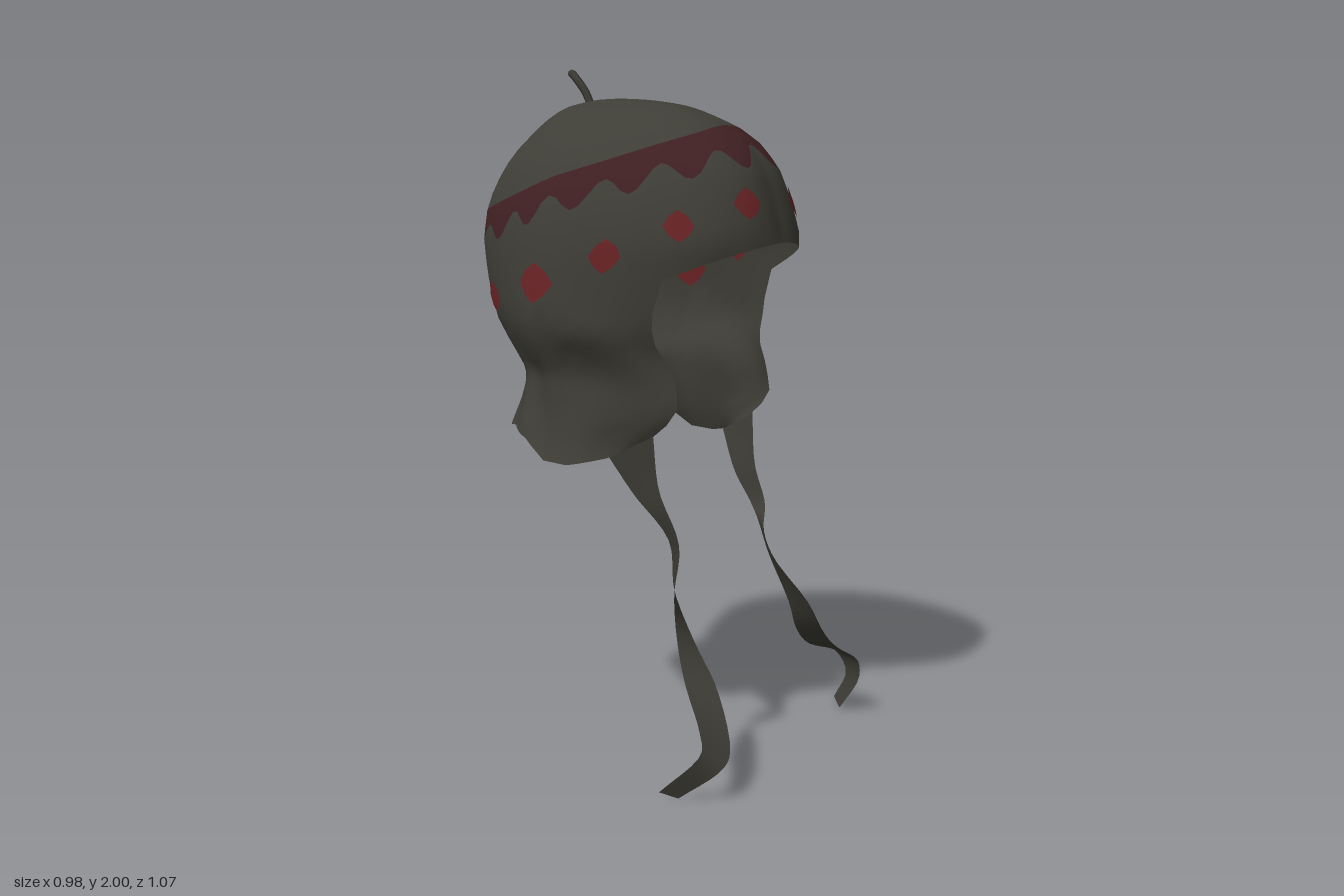
import * as THREE from 'three';

const mat = (name, color) => {
  const m = new THREE.MeshStandardMaterial({ color, side: THREE.DoubleSide });
  m.name = name;
  return m;
};

// Horizontal sections of the cap: [y, halfWidth, frontZ, backZ, middleZ]
const SECTIONS = [
  [1.91, 0, -0.13, -0.13, -0.13], [1.9, 0.06, 0.03, -0.24, -0.12], [1.885, 0.11, 0.12, -0.3, -0.11],
  [1.85, 0.18, 0.215, -0.35, -0.1], [1.8, 0.24, 0.32, -0.4, -0.1], [1.75, 0.285, 0.365, -0.45, -0.1],
  [1.7, 0.32, 0.4, -0.485, -0.1], [1.6, 0.365, 0.435, -0.535, -0.1], [1.5, 0.39, 0.46, -0.54, -0.1],
  [1.4, 0.4, 0.425, -0.515, -0.1], [1.3, 0.41, 0.38, -0.47, -0.1], [1.24, 0.41, 0.385, -0.44, -0.1],
  [1.2, 0.38, 0.395, -0.42, -0.1], [1.12, 0.342, 0.465, -0.375, -0.1], [1.02, 0.35, 0.47, -0.37, -0.1],
  [0.93, 0.37, 0.31, -0.375, -0.1], [0.86, 0.4, 0.3, -0.375, -0.1],
];
const DEG = Math.PI / 180;
const ramp = (v) => THREE.MathUtils.clamp(v, 0, 1);

// Point on the cap at angle a (0 = front, towards +x) and height y
function capPoint(a, y) {
  let k = 0;
  while (k < SECTIONS.length - 2 && y < SECTIONS[k + 1][0]) k++;
  const p = SECTIONS[k], q = SECTIONS[k + 1];
  const depth = (v) => Math.sqrt(Math.max(0, 1.91 - v));
  const t = (depth(y) - depth(p[0])) / (depth(q[0]) - depth(p[0]));
  const [w, f, b, m] = [1, 2, 3, 4].map((c) => p[c] + (q[c] - p[c]) * t);
  const s = Math.sin(a), c = Math.cos(a), low = ramp((1.3 - y) / 0.15);
  // gentle creases in the loose lower cloth
  const crease = 0.015 * low * Math.sin(11 * Math.abs(Math.PI - a) + 14 * y);
  // blunt brow, straight temples and a slightly pointed back
  const wave = Math.sin(4 * a) * Math.sign(s);
  const shape = 0.028 * (1 - low) * (c > 0 ? wave : -Math.abs(wave));
  // pinched neck whose corners flare out at the hem
  const flare = (c < 0 ? 0.11 * ramp((1.09 - y) / 0.14) : 0) - 0.035 * low;
  const r = 1 + crease + shape + flare * Math.sin(2 * a) ** 2;
  // the left side sits slightly tighter
  return new THREE.Vector3(w * s * r * (s > 0 ? 0.965 : 1), y, m + (c > 0 ? f - m : m - b) * c * r);
}

// Linear lookup for the lower hem: degrees from the front -> height
const HEM = [[0, 0.95], [47, 0.95], [60, 0.895], [78, 0.87], [90, 0.875], [107, 0.93], [124, 0.955], [138, 0.945], [180, 0.915]];
function hemY(a) {
  const d = Math.min(a, 2 * Math.PI - a) / DEG;
  let k = 0;
  while (k < HEM.length - 2 && d > HEM[k + 1][0]) k++;
  return THREE.MathUtils.mapLinear(d, HEM[k][0], HEM[k + 1][0], HEM[k][1], HEM[k + 1][1]);
}

// Cap shell: crown, zigzag band, sides, then ear and neck flaps (open at the face)
function capGeometry() {
  const cols = 128, crown = 12, band = 2, side = 6, flap = 10, opening = 17;
  const rows = crown + band + side + flap, pos = [], cloth = [], red = [];
  const lerp = THREE.MathUtils.lerp;
  for (let j = 0; j <= rows; j++) {
    for (let i = 0; i < cols; i++) {
      const a = (i / cols) * 2 * Math.PI;
      const top = 1.685 + 0.143 * Math.cos(a);
      // teeth are wider at the front and back than at the sides
      const zig = top - 0.085 + 0.031 * Math.cos(16 * (a - 0.105 * Math.sin(2 * a)));
      const brim = Math.max(1.5 - 0.3 * (1 - Math.cos(a)), 1.15);
      let y;
      if (j <= crown) y = lerp(1.91, top, (j / crown) ** 2);
      else if (j <= crown + band) y = lerp(top, zig, (j - crown) / band);
      else if (j <= rows - flap) y = lerp(zig, brim, (j - crown - band) / side);
      else y = lerp(brim, hemY(a), (j - rows + flap) / flap);
      pos.push(...capPoint(a, y).toArray());
    }
  }
  for (let j = 0; j < rows; j++) {
    for (let i = 0; i < cols; i++) {
      if (j >= rows - flap && (i < opening || i >= cols - opening)) continue;
      const n = (i + 1) % cols, p = j * cols, q = p + cols;
      const list = j >= crown && j < crown + band ? red : cloth;
      list.push(p + i, q + i, q + n, p + i, q + n, p + n);
    }
  }
  const g = new THREE.BufferGeometry();
  g.setAttribute('position', new THREE.Float32BufferAttribute(pos, 3));
  g.setIndex([...cloth, ...red]);
  g.addGroup(0, cloth.length, 0);
  g.addGroup(cloth.length, red.length, 1);
  g.computeVertexNormals();
  return g;
}

// Eight-sided spot lying on the cap, lifted off it by a small offset
function spotGeometry(a, y, r, lift) {
  const e = 0.01;
  const n = capPoint(a, y - e).sub(capPoint(a, y + e))
    .cross(capPoint(a + e, y).sub(capPoint(a - e, y))).normalize();
  const around = capPoint(a + e, y).distanceTo(capPoint(a - e, y)) / (2 * e);
  const put = (u, v) => capPoint(a + u / around, y + v).addScaledVector(n, lift).toArray();
  const pos = [...put(0, 0)], idx = [];
  for (let ring = 1; ring <= 2; ring++) {
    for (let k = 0; k < 8; k++) {
      const t = (k / 8) * 2 * Math.PI, s = (ring / 2) * r * (k % 2 ? 0.9 : 1.05);
      pos.push(...put(s * Math.cos(t), s * Math.sin(t)));
    }
  }
  for (let k = 0; k < 8; k++) {
    const p = 1 + k, q = 1 + ((k + 1) % 8);
    idx.push(0, p, q, p, p + 8, q + 8, p, q + 8, q);
  }
  const g = new THREE.BufferGeometry();
  g.setAttribute('position', new THREE.Float32BufferAttribute(pos, 3));
  g.setIndex(idx);
  g.computeVertexNormals();
  return g;
}

// Ribbon between two smooth edge curves; each entry holds both edge points
function ribbonGeometry(pairs) {
  const curve = (o) => new THREE.CatmullRomCurve3(pairs.map((p) => new THREE.Vector3(p[o], p[o + 1], p[o + 2])));
  const a = curve(0), b = curve(3), steps = 36, pos = [], idx = [];
  for (let i = 0; i <= steps; i++) {
    pos.push(...a.getPoint(i / steps).toArray(), ...b.getPoint(i / steps).toArray());
    if (i < steps) idx.push(2 * i, 2 * i + 1, 2 * i + 3, 2 * i, 2 * i + 3, 2 * i + 2);
  }
  const g = new THREE.BufferGeometry();
  g.setAttribute('position', new THREE.Float32BufferAttribute(pos, 3));
  g.setIndex(idx);
  g.computeVertexNormals();
  return g;
}

export function createModel() {
  const group = new THREE.Group();
  group.name = 'earflapCap';
  const cloth = mat('darkCloth', 0x3e3d36);
  const bandRed = mat('bandRed', 0x402022);
  const spotRed = mat('spotRed', 0x6a2325);
  const add = (name, geometry, material) => {
    const m = new THREE.Mesh(geometry, material);
    m.name = name;
    group.add(m);
  };

  add('cap', capGeometry(), [cloth, bandRed]);

  // Spots on both sides of the cloth: [degrees from front, height, radius]
  const spots = [[19, 1.61, 0.042], [45, 1.55, 0.042], [68, 1.466, 0.046], [92.5, 1.385, 0.055], [127.5, 1.333, 0.045], [164, 1.305, 0.046]];
  for (const [d, y, r] of spots) {
    for (const a of [d * DEG, (360 - d) * DEG]) {
      add('spotOutside', spotGeometry(a, y, r, 0.005), spotRed);
      add('spotInside', spotGeometry(a, y, r, -0.005), spotRed);
    }
  }

  // Small stalk on the crown
  const stalk = new THREE.CatmullRomCurve3([
    new THREE.Vector3(0, 1.885, -0.215), new THREE.Vector3(-0.003, 1.93, -0.235),
    new THREE.Vector3(-0.008, 1.965, -0.26), new THREE.Vector3(-0.01, 1.99, -0.283),
  ]);
  add('stalk', new THREE.TubeGeometry(stalk, 8, 0.012, 6), cloth);
  const tip = new THREE.SphereGeometry(0.012, 6, 4);
  tip.translate(-0.01, 1.988, -0.283);
  add('stalkTip', tip, cloth);

  // Hanging ties
  add('rightTie', ribbonGeometry([
    [-0.265, 0.96, 0.2, -0.3, 0.89, 0.07], [-0.25, 0.8, 0.21, -0.26, 0.78, 0.13],
    [-0.25, 0.65, 0.28, -0.215, 0.65, 0.22], [-0.245, 0.5, 0.26, -0.2, 0.5, 0.23],
    [-0.26, 0.38, 0.28, -0.2, 0.36, 0.3], [-0.31, 0.28, 0.34, -0.235, 0.25, 0.4],
    [-0.41, 0.18, 0.46, -0.35, 0.12, 0.52], [-0.45, 0.14, 0.49, -0.41, 0.09, 0.53],
    [-0.49, 0.02, 0.38, -0.455, 0, 0.42],
  ]), cloth);
  add('leftTie', ribbonGeometry([
    [0.265, 0.96, 0.2, 0.3, 0.89, 0.07], [0.25, 0.8, 0.22, 0.26, 0.77, 0.14],
    [0.23, 0.69, 0.27, 0.25, 0.69, 0.2], [0.16, 0.62, 0.31, 0.22, 0.64, 0.25],
    [0.135, 0.55, 0.36, 0.205, 0.54, 0.3], [0.17, 0.42, 0.46, 0.21, 0.4, 0.37],
    [0.25, 0.31, 0.47, 0.26, 0.3, 0.37], [0.36, 0.23, 0.46, 0.37, 0.22, 0.36],
    [0.42, 0.18, 0.5, 0.45, 0.19, 0.4], [0.43, 0.12, 0.5, 0.475, 0.12, 0.43],
    [0.455, 0, 0.42, 0.49, 0.02, 0.38],
  ]), cloth);

  return group;
}
